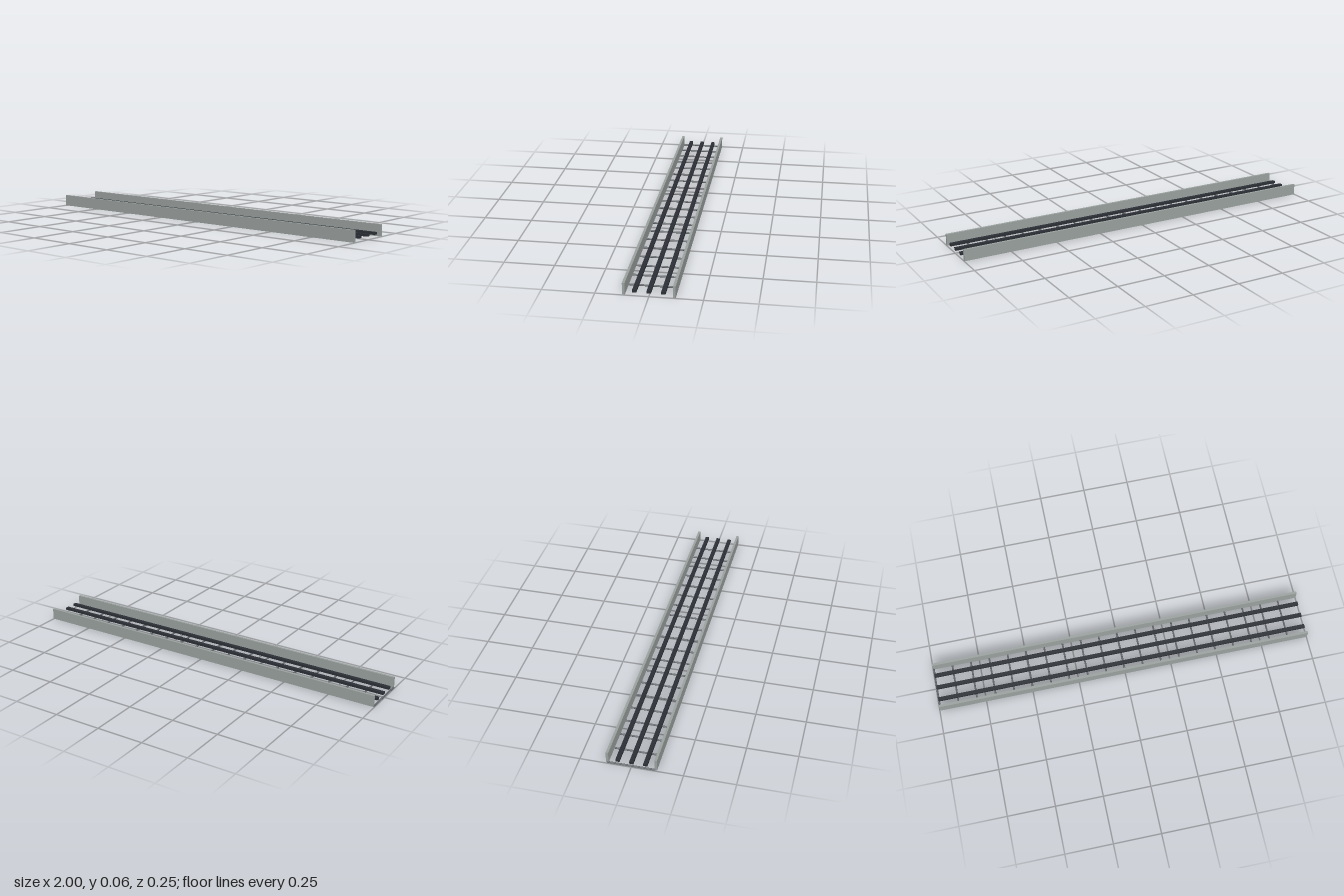
import * as THREE from 'three';

export function createModel() {
  const galvanised = new THREE.MeshStandardMaterial({ name: 'galvanised grey', color: 0x9aa19e });
  const steel = new THREE.MeshStandardMaterial({ name: 'dark steel', color: 0x62666a });
  const rubber = new THREE.MeshStandardMaterial({ name: 'cable black', color: 0x2b3036 });

  const START = -0.9955, LENGTH = 1.9955, MID = START + LENGTH / 2;
  const RUNGS = 20, RUNG_RADIUS = 0.0045;
  const model = new THREE.Group();
  model.name = 'cableTray';

  function add(name, geometry, material, x, y, z) {
    const mesh = new THREE.Mesh(geometry, material);
    mesh.name = name;
    mesh.position.set(x, y, z);
    model.add(mesh);
    return mesh;
  }

  // Two upright side rails
  const rail = new THREE.BoxGeometry(LENGTH, 0.06, 0.0125);
  add('leftRail', rail, galvanised, MID, 0.0315, -0.117);
  add('rightRail', rail, galvanised, MID, 0.0315, 0.117);

  // Evenly spaced round rungs joining the rails
  const rung = new THREE.CylinderGeometry(RUNG_RADIUS, RUNG_RADIUS, 0.234, 12);
  rung.rotateX(Math.PI / 2);
  for (let i = 0; i < RUNGS; i++) {
    add('rung' + (i + 1), rung, steel, START + (i * LENGTH) / RUNGS, RUNG_RADIUS, 0);
  }

  // Three flat cables running the full length above the rungs
  const cable = new THREE.BoxGeometry(LENGTH, 0.0125, 0.02);
  [-0.067, 0, 0.067].forEach((z, i) => add('cable' + (i + 1), cable, rubber, MID, 0.0225, z));

  return model;
}
